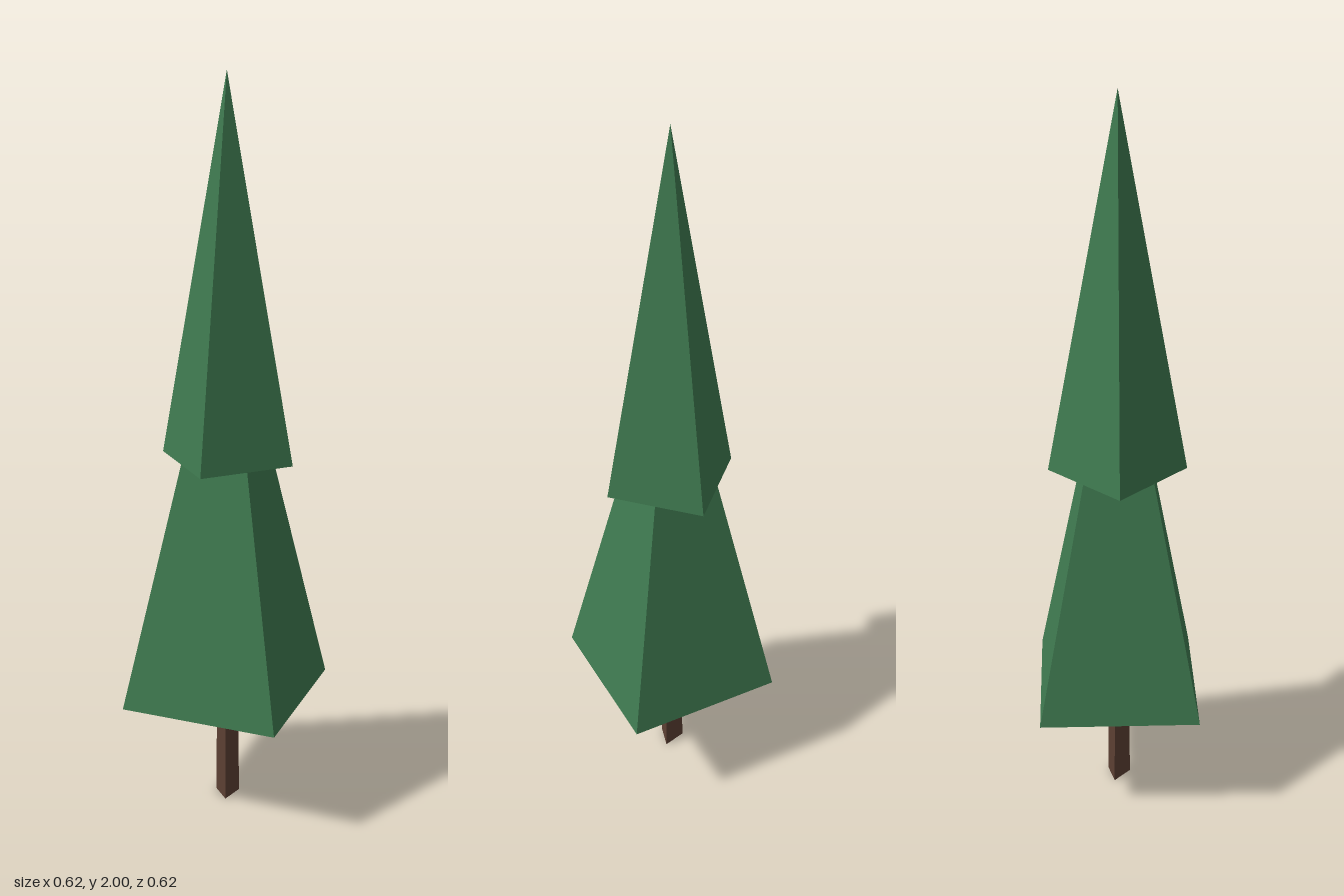
import * as THREE from 'three';

// Open faceted cone standing on y = base; theta = 0 puts a corner on +z.
function taper(name, rTop, rBottom, base, top, sides, theta, color) {
  const geo = new THREE.CylinderGeometry(rTop, rBottom, top - base, sides, 1, true, theta);
  geo.translate(0, (base + top) / 2, 0);
  const mat = new THREE.MeshStandardMaterial({ color, flatShading: true, side: THREE.DoubleSide });
  const mesh = new THREE.Mesh(geo, mat);
  mesh.name = name;
  return mesh;
}

export function createModel() {
  const tree = new THREE.Group();
  tree.name = 'pineTree';
  const green = 0x3f7a50;

  // Three-sided trunk with one edge towards +x, running up inside the foliage
  tree.add(taper('trunk', 0.024, 0.038, 0, 1.0, 3, Math.PI / 2, 0x5c4033));

  // Wide lower tier, corners on the axes
  tree.add(taper('lowerFoliage', 0, 0.308, 0.325, 1.5, 4, 0, green));

  // Slim upper tier, turned by an eighth so its faces look along the axes
  tree.add(taper('upperFoliage', 0, 0.185, 1.0, 2.0, 4, Math.PI / 4, green));

  return tree;
}
